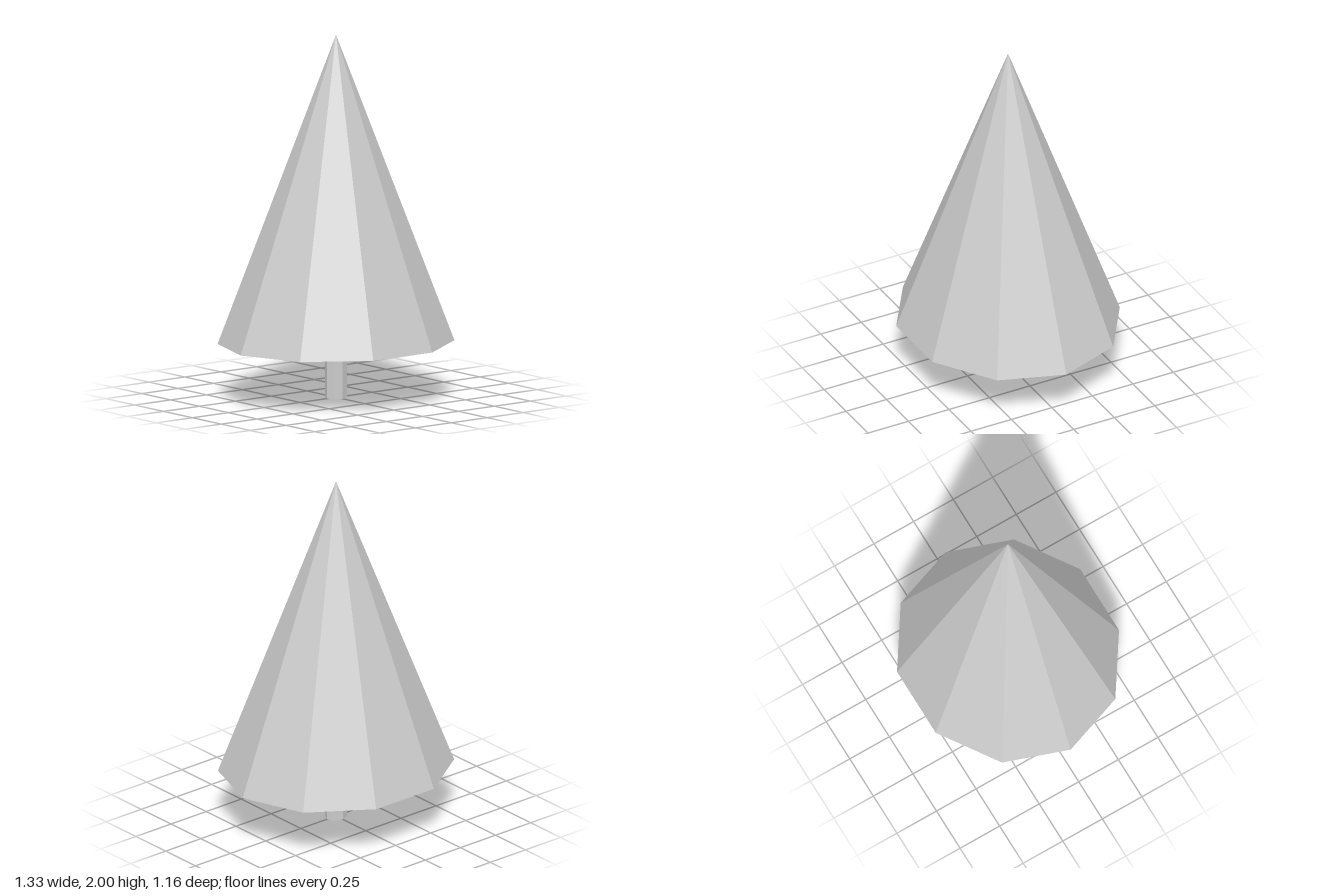
import * as THREE from 'three';

const BASE_Y = 0.305; // underside of the foliage
const DEPTH = 0.917; // the tree is slightly narrower front to back

export function createModel() {
  const tree = new THREE.Group();
  tree.name = 'tree';
  const grey = new THREE.MeshStandardMaterial({ color: 0xcccccc, flatShading: true });
  grey.name = 'light grey';

  const addPart = (name, geometry, bottom) => {
    geometry.scale(1, 1, DEPTH);
    const mesh = new THREE.Mesh(geometry, grey);
    mesh.name = name;
    mesh.position.y = bottom + geometry.parameters.height / 2;
    tree.add(mesh);
  };

  // Ten-sided cone with corners on the x axis
  addPart('foliage', new THREE.ConeGeometry(0.664, 2 - BASE_Y, 10, 1, false, Math.PI / 2), BASE_Y);
  // Eight-sided trunk
  addPart('trunk', new THREE.CylinderGeometry(0.063, 0.063, BASE_Y, 8), 0);

  return tree;
}
